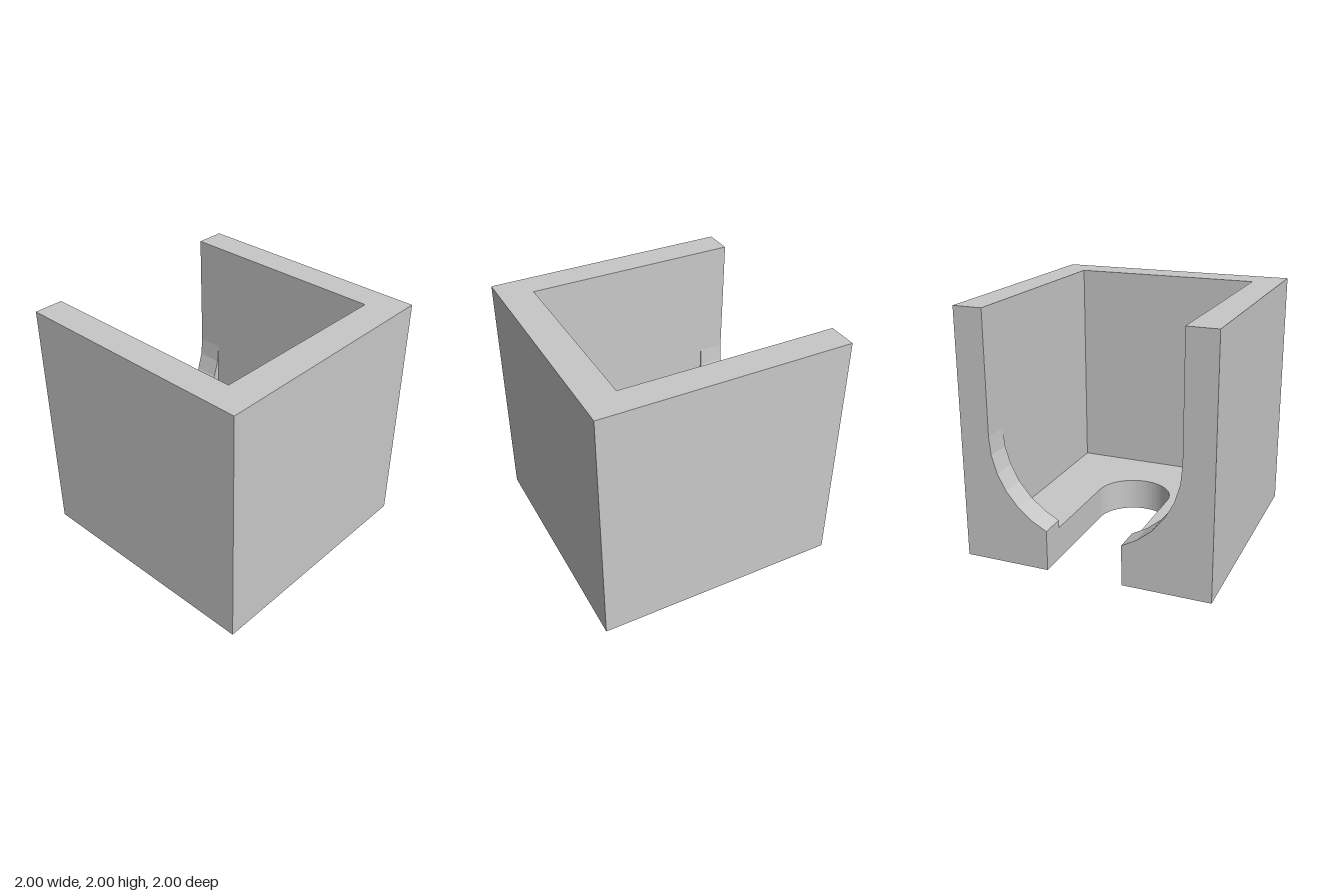
import * as THREE from 'three';

const R = 0.763;        // half width of the cavity and radius of the rear cut
const SLOT = 0.305;     // half width of the floor slot
const FLOOR = 0.262;    // floor thickness
const FRONT = 0.735;    // inner face of the front wall (z)
const BACK = -0.791;    // inner face of the rear wall (z)
const AXIS = FLOOR + R; // height of the rear cut's axis

export function createModel() {
  const grey = new THREE.MeshStandardMaterial({ color: 0xc8c8c8 });
  grey.name = 'light grey';
  const group = new THREE.Group();
  group.name = 'slottedHousing';

  const add = (name, geometry) => {
    const mesh = new THREE.Mesh(geometry, grey);
    mesh.name = name;
    group.add(mesh);
    return mesh;
  };
  const extrude = (shape, depth) =>
    new THREE.ExtrudeGeometry(shape, { depth, bevelEnabled: false, curveSegments: 16 });
  const outline = (points) => new THREE.Shape(points.map(([x, y]) => new THREE.Vector2(x, y)));

  // Floor plate with a round-ended slot open at the back (plan: shape y = -z)
  const plan = outline([[-SLOT, 1], [-1, 1], [-1, -1], [1, -1], [1, 1], [SLOT, 1], [SLOT, 0]]);
  plan.absarc(0, 0, SLOT, 0, -Math.PI, true);
  plan.closePath();
  add('floor', extrude(plan, FLOOR).rotateX(-Math.PI / 2));

  // Front and side walls as one U in plan
  const walls = outline([
    [-1, -BACK], [-1, -1], [1, -1], [1, -BACK],
    [R, -BACK], [R, -FRONT], [-R, -FRONT], [-R, -BACK],
  ]);
  add('walls', extrude(walls, 2 - FLOOR).rotateX(-Math.PI / 2).translate(0, FLOOR, 0));

  // Faceted curve of the rear cut, clipped at the slot
  const arc = [];
  for (let i = 0; i <= 5; i++) {
    const a = (i * Math.PI) / 16;
    arc.push([R * Math.cos(a), AXIS - R * Math.sin(a)]);
  }
  arc.push([SLOT, AXIS - Math.sqrt(R * R - SLOT * SLOT)]);

  // Rear wall: one piece on each side of the opening
  for (const side of [1, -1]) {
    const profile = [[SLOT, FLOOR], [1, FLOOR], [1, 2], [R, 2], ...arc];
    const shape = outline(profile.map(([x, y]) => [side * x, y]));
    add(side > 0 ? 'rearWallLeft' : 'rearWallRight', extrude(shape, 1 + BACK).translate(0, 0, -1));
  }

  return group;
}
